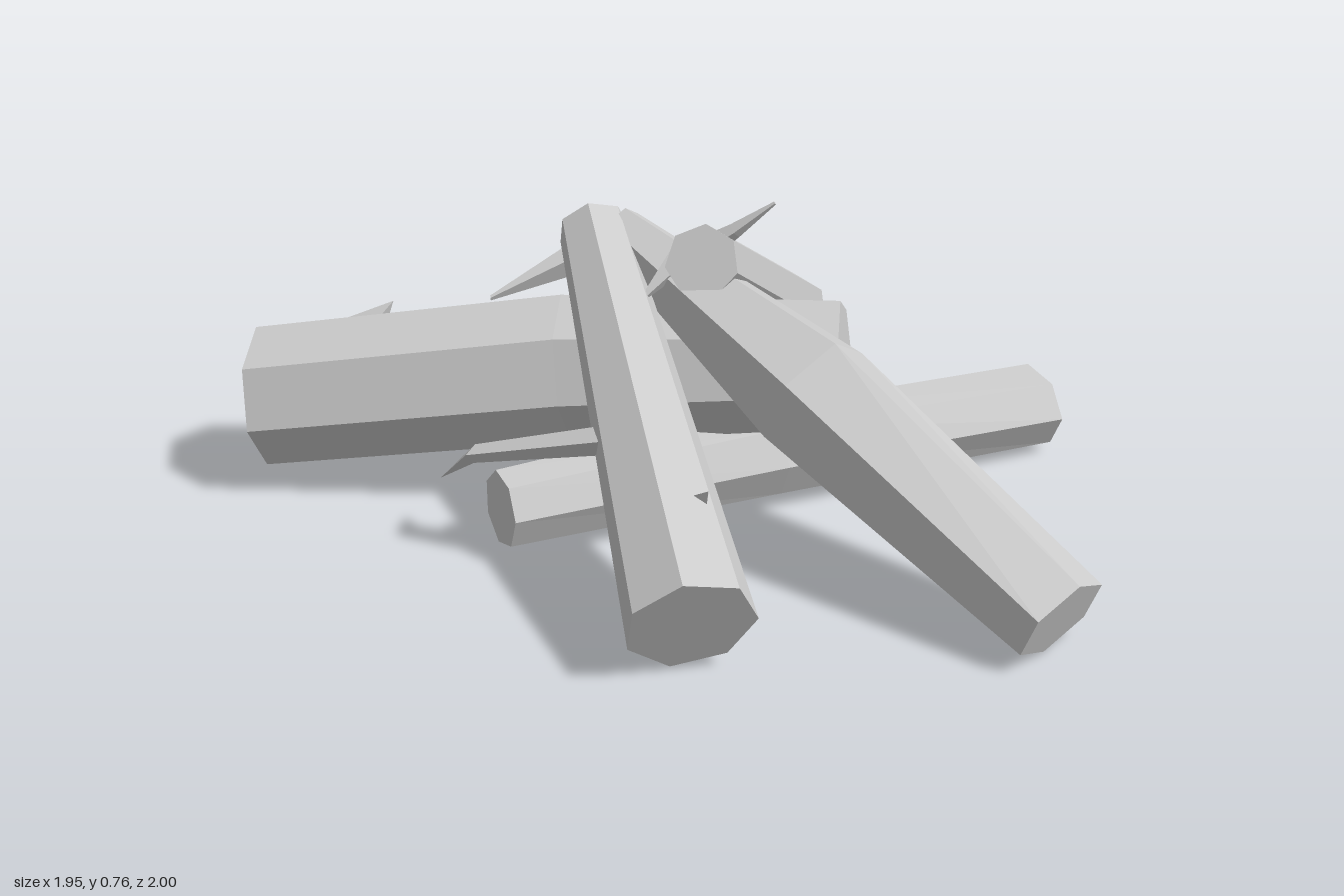
import * as THREE from 'three';

const material = new THREE.MeshStandardMaterial({ color: 0xcccccc, flatShading: true });

// Capped, faceted limb through cross-sections [x, y, z, radius, squash]
function limb(name, sections, sides = 7, roll = 0) {
  const centres = sections.map(([x, y, z]) => new THREE.Vector3(x, y, z));
  const last = centres.length - 1;
  const dir = centres[last].clone().sub(centres[0]).normalize();
  const u = new THREE.Vector3(0, 1, 0).cross(dir).normalize();
  const v = dir.clone().cross(u);
  const positions = [];
  const index = [];

  centres.forEach((c, i) => {
    const [, , , r, squash = 1] = sections[i];
    for (let k = 0; k < sides; k++) {
      const a = roll + (k / sides) * Math.PI * 2;
      const p = c.clone().addScaledVector(u, r * Math.cos(a)).addScaledVector(v, r * squash * Math.sin(a));
      positions.push(p.x, p.y, p.z);
    }
  });
  positions.push(...centres[0].toArray(), ...centres[last].toArray());
  const startCap = sides * centres.length;

  for (let k = 0; k < sides; k++) {
    const n = (k + 1) % sides;
    for (let i = 0; i < last; i++) {
      const a = i * sides, b = a + sides;
      index.push(a + k, a + n, b + n, a + k, b + n, b + k);
    }
    index.push(startCap, n, k, startCap + 1, last * sides + k, last * sides + n);
  }

  const geometry = new THREE.BufferGeometry();
  geometry.setAttribute('position', new THREE.Float32BufferAttribute(positions, 3));
  geometry.setIndex(index);
  geometry.computeVertexNormals();
  const mesh = new THREE.Mesh(geometry, material);
  mesh.name = name;
  return mesh;
}

export function createModel() {
  const model = new THREE.Group();
  model.name = 'logPile';

  // Logs leaning together
  model.add(
    limb('thickLog', [[-0.96, 0.215, 0.015, 0.17], [-0.22, 0.32, 0.035, 0.178], [0.43, 0.38, 0.105, 0.15]], 7, 0.6),
    limb('backLog', [[0.275, 0.1, -0.95, 0.108], [0.1, 0.64, 0.165, 0.086]], 7, Math.PI / 2),
    limb('frontLog', [[-0.17, 0.635, -0.06, 0.085], [0.133, 0.14, 0.935, 0.14]], 7, 0),
    limb('bentLog', [[-0.11, 0.64, -0.05, 0.06], [0.36, 0.39, 0.32, 0.15], [0.885, 0.1, 0.775, 0.13, 0.75]], 6, Math.PI / 2),
    limb('groundLog', [[-0.335, 0.12, 0.4, 0.09], [0.25, 0.13, 0.06, 0.115, 0.9], [0.905, 0.11, -0.33, 0.125, 0.78]], 7, 0.4),
  );

  // Long twigs, bent near the tip
  model.add(
    limb('frontTwig', [[0, 0.37, 0.53, 0.055, 0.6], [-0.39, 0.255, 0.4, 0.032, 0.6], [-0.49, 0.14, 0.29, 0]], 4, 0.4),
    limb('backTwig', [[0.14, 0.52, -0.12, 0.06], [-0.22, 0.545, -0.105, 0.04], [-0.41, 0.475, 0, 0.006]], 4, 0.4),
    limb('topTwig', [[0.1, 0.645, 0.095, 0.03], [0.17, 0.695, 0.105, 0.018], [0.26, 0.765, 0.11, 0.004]], 4),
  );

  // Short snapped stubs
  const stubs = [
    [[-0.74, 0.35, -0.01, 0.08], [-0.66, 0.43, -0.08, 0]],
    [[0.12, 0.29, 0.72, 0.06], [0.155, 0.36, 0.77, 0]],
    [[0.2, 0.26, -0.67, 0.07], [0.125, 0.285, -0.74, 0]],
    [[0.05, 0.62, 0.1, 0.035], [-0.03, 0.56, 0.2, 0.006]],
  ];
  stubs.forEach((s) => model.add(limb('stub', s, 3, 0.5)));

  return model;
}
